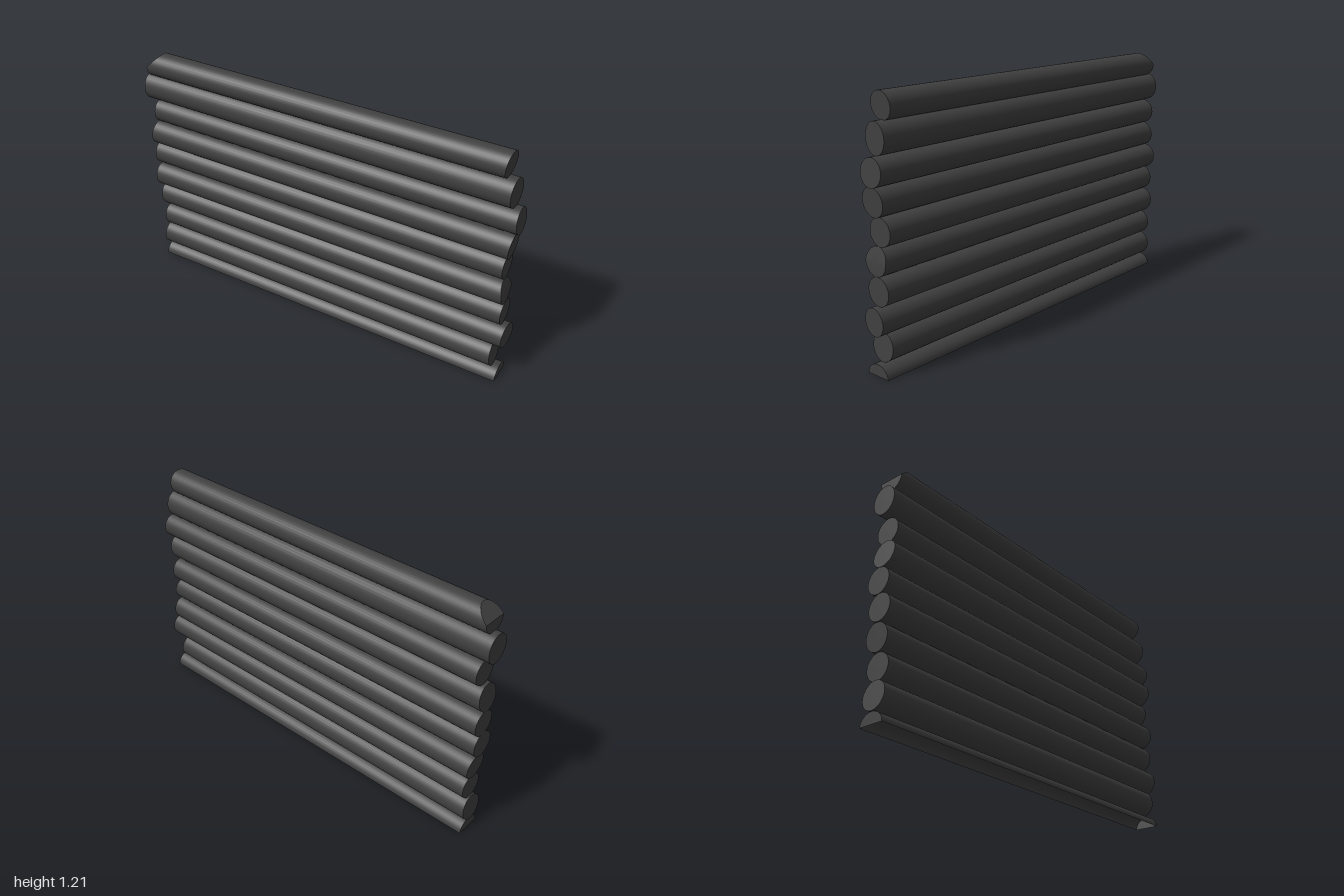
import * as THREE from 'three';
import { toCreasedNormals } from 'three/addons/utils/BufferGeometryUtils.js';

const LENGTH_SEGMENTS = 1, SIDES = 32, DEPTH_RADIUS = 0.063;

// Each log: centre y and z, vertical radius, then for each end its x at the
// axis and how much x changes per unit of height (dy) and of depth (dz).
const LOGS = [
  { y: 1.145, z: 0.003, r: 0.062, left: [0.907, 0.09, -0.05], right: [-0.97, 0, 0], chamfer: 1.0, tilt: 0.002 },
  { y: 1.018, z: 0.001, r: 0.071, left: [0.945, 0, -0.08], right: [-1.0, 0, 0] },
  { y: 0.885, z: -0.006, r: 0.063, left: [0.98, -0.08, 0], right: [-0.96, 0, 0] },
  { y: 0.757, z: 0.008, r: 0.066, left: [0.965, 0.08, 0], right: [-0.982, 0.12, 0] },
  { y: 0.63, z: -0.008, r: 0.064, left: [0.946, 0, 0], right: [-0.988, 0, 0] },
  { y: 0.503, z: 0.008, r: 0.065, left: [0.963, 0, 0], right: [-0.986, 0, 0], notch: 0.25 },
  { y: 0.376, z: -0.006, r: 0.065, left: [0.965, 0, 0], right: [-0.975, -0.08, 0] },
  { y: 0.248, z: -0.001, r: 0.0635, left: [0.992, 0, -0.09], right: [-0.963, 0, 0] },
  { y: 0.121, z: 0.004, r: 0.066, left: [0.945, -0.08, 0], right: [-0.976, 0.08, 0] },
  { y: 0, z: -0.001, r: 0.055, left: [0.982, 0, 0], right: [-0.975, 0, 0], half: true },
];

function logGeometry(log) {
  const geo = new THREE.CylinderGeometry(1, 1, 2, log.half ? SIDES / 2 : SIDES, LENGTH_SEGMENTS,
    false, 0, log.half ? Math.PI : Math.PI * 2);
  geo.rotateZ(Math.PI / 2);
  const p = geo.attributes.position;
  for (let i = 0; i < p.count; i++) {
    const isLeft = p.getX(i) > 0;
    const y = p.getY(i) * log.r, z = p.getZ(i) * DEPTH_RADIUS;
    const [x0, dy, dz] = isLeft ? log.left : log.right;
    let x = x0 + dy * y + dz * z;
    // sloping cut over the upper half of an end
    if (!isLeft && log.chamfer) x += log.chamfer * Math.max(0, y);
    if (isLeft && log.notch) x -= log.notch * Math.max(0, y);
    p.setXYZ(i, x, y + (log.tilt || 0) * x, z);
  }
  return toCreasedNormals(geo, 0.4);
}

export function createModel() {
  const wall = new THREE.Group();
  wall.name = 'logWall';
  const wood = new THREE.MeshStandardMaterial({ color: 0x404040, side: THREE.DoubleSide });
  // stacked logs, with an open half log at the foot
  LOGS.forEach((log, i) => {
    const mesh = new THREE.Mesh(logGeometry(log), wood);
    mesh.name = log.half ? 'bottomHalfLog' : `log${i + 1}`;
    mesh.position.set(0, log.y, log.z);
    wall.add(mesh);
  });
  return wall;
}
